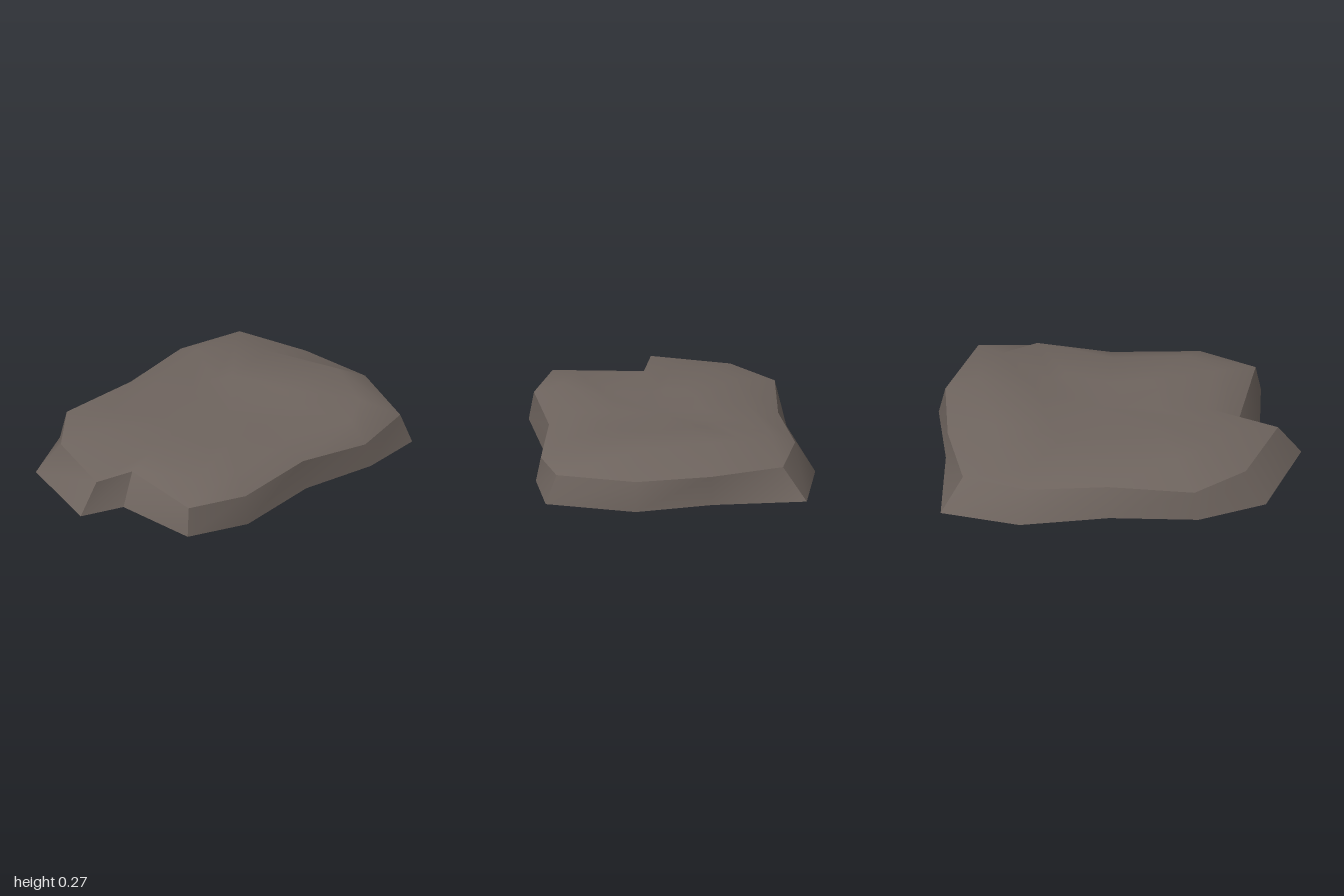
import * as THREE from 'three';
import { toCreasedNormals } from 'three/addons/utils/BufferGeometryUtils.js';

// Outlines run left, back, right, front; each list is [x, z] or [x, y, z].
const base = [
  [-1, -0.21], [-0.765, -0.68], [-0.39, -0.79], [0.09, -0.73], [0.58, -0.75],
  [0.995, -0.6], [0.92, -0.09], [0.92, 0.335], [0.69, 0.78], [0.35, 0.75],
  [-0.045, 0.605], [-0.535, 0.57], [-0.835, 0.385], [-0.785, -0.08],
].map(([x, z]) => [x, 0, z]);

const rim = [
  [-0.875, 0.16, -0.195], [-0.665, 0.16, -0.585], [-0.37, 0.16, -0.76], [0.09, 0.16, -0.665],
  [0.53, 0.16, -0.65], [0.865, 0.16, -0.5], [0.91, 0.16, -0.09], [0.885, 0.16, 0.325],
  [0.67, 0.155, 0.715], [0.34, 0.13, 0.72], [-0.04, 0.16, 0.58], [-0.52, 0.16, 0.545],
  [-0.805, 0.16, 0.37], [-0.67, 0.16, -0.105],
];

const crest = [
  [-0.6, 0.21, -0.25], [-0.48, 0.225, -0.42], [-0.3, 0.22, -0.52], [0.08, 0.22, -0.5],
  [0.5, 0.215, -0.52], [0.63, 0.235, -0.36], [0.66, 0.255, -0.17], [0.71, 0.27, 0.26],
  [0.56, 0.235, 0.52], [0.36, 0.225, 0.61], [-0.04, 0.215, 0.45], [-0.43, 0.23, 0.41],
  [-0.6, 0.215, 0.28], [-0.52, 0.22, -0.08],
];

// Joins loops from the outside in, closing with a centre point if given.
function stitch(loops, centre) {
  const n = loops[0].length;
  const points = loops.flat();
  const index = [];
  for (let k = 0; k < loops.length - 1; k++) {
    for (let i = 0; i < n; i++) {
      const j = (i + 1) % n;
      const a = k * n + i, b = k * n + j;
      index.push(b, a, a + n, b, a + n, b + n);
    }
  }
  if (centre) {
    const last = (loops.length - 1) * n;
    for (let i = 0; i < n; i++) index.push(last + ((i + 1) % n), last + i, points.length);
    points.push(centre);
  }
  const geometry = new THREE.BufferGeometry();
  geometry.setAttribute('position', new THREE.Float32BufferAttribute(points.flat(), 3));
  geometry.setIndex(index);
  geometry.computeVertexNormals();
  return geometry;
}

export function createModel() {
  const group = new THREE.Group();
  group.name = 'rockSlab';
  const stone = new THREE.MeshStandardMaterial({ color: 0x6e645e });
  stone.name = 'brown grey stone';

  const add = (name, geometry) => {
    const mesh = new THREE.Mesh(geometry, stone);
    mesh.name = name;
    group.add(mesh);
  };

  // Sloping sides with sharp corners
  add('sides', toCreasedNormals(stitch([base, rim]), 0.75));

  // Smooth raised top, slightly sunk in the middle
  const centre = [0.08, 0.22, 0];
  const inner = crest.map((p) => p.map((v, i) => THREE.MathUtils.lerp(v, centre[i], 0.5)));
  add('top', stitch([rim, crest, inner], centre));

  // Flat underside
  const shape = new THREE.Shape(base.map(([x, , z]) => new THREE.Vector2(x, z)));
  add('underside', new THREE.ShapeGeometry(shape).rotateX(Math.PI / 2));

  return group;
}
